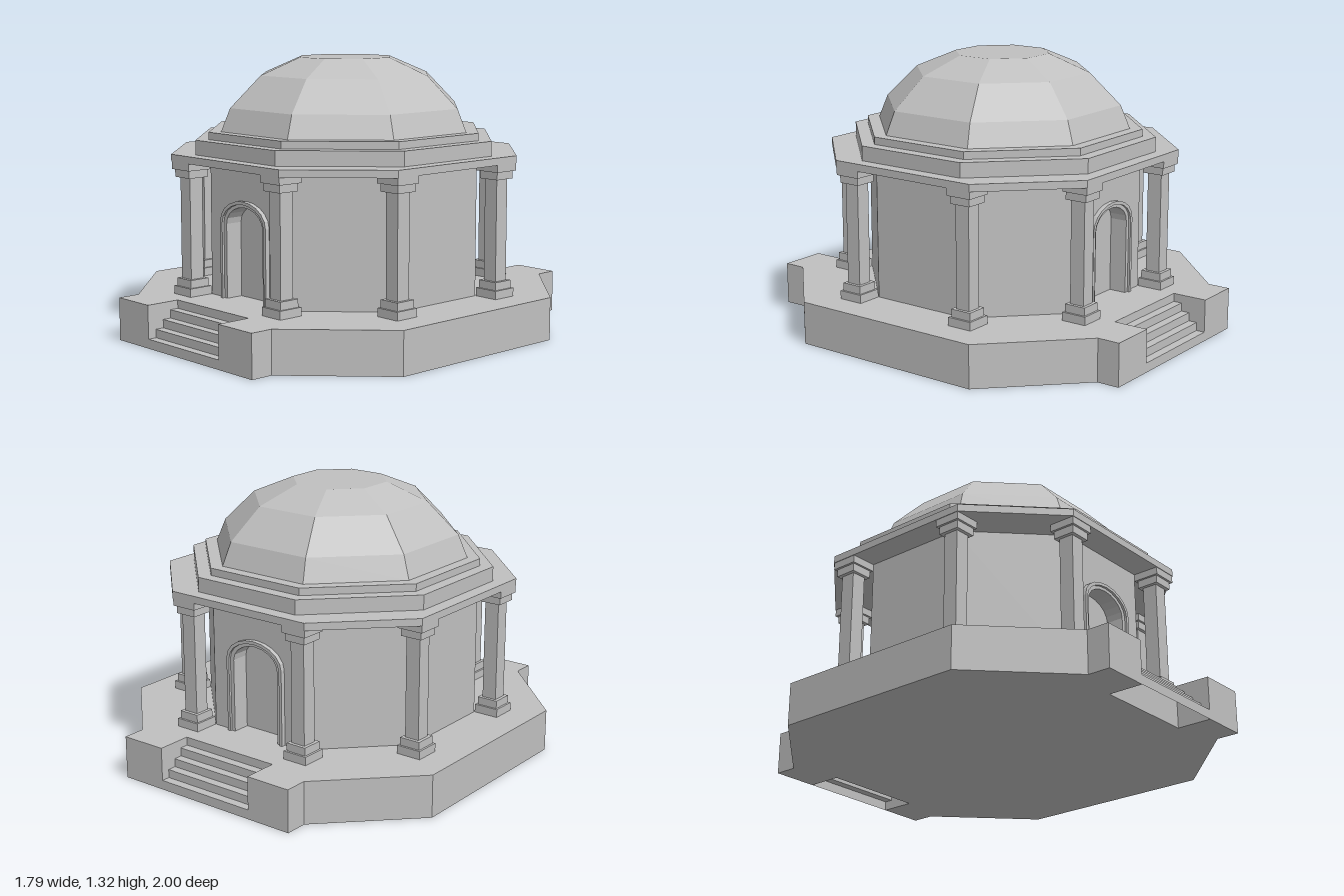
import * as THREE from 'three';

export function createModel() {
  const model = new THREE.Group();
  model.name = 'domedPavilion';
  const stone = new THREE.MeshStandardMaterial({ color: 0xc0c0c0, flatShading: true, side: THREE.DoubleSide });
  stone.name = 'stone grey';

  function add(parent, name, geometry, x = 0, y = 0, z = 0) {
    const mesh = new THREE.Mesh(geometry, stone);
    mesh.name = name;
    mesh.position.set(x, y, z);
    parent.add(mesh);
    return mesh;
  }

  // Mirrors a quarter plan (x, z) into a full outline and raises it from y0 to y1
  function addPlan(name, quarter, y0, y1) {
    const flip = (sx, sz) => quarter.map(([x, z]) => new THREE.Vector2(x * sx, z * sz));
    const outline = [...flip(1, 1), ...flip(-1, 1).reverse(), ...flip(-1, -1), ...flip(1, -1).reverse()];
    const geometry = new THREE.ExtrudeGeometry(new THREE.Shape(outline), { depth: y1 - y0, bevelEnabled: false });
    geometry.rotateX(-Math.PI / 2);
    return add(model, name, geometry, 0, y0, 0);
  }
  const octagon = (apothem, half) => [[apothem, half], [half, apothem]];

  // Plinth with stair notches, and the drum with door recesses
  const floor = 0.205, eaves = 0.84, recess = 0.55, wall = 0.625;
  addPlan('plinth', [[0.895, 0.49], [0.49, 0.89], [0.49, 1], [0.26, 1], [0.26, 0.83]], 0, floor);
  addPlan('drumWall', [[wall, 0.26], [0.26, wall], [0.13, wall], [0.13, recess]], floor, eaves);

  // Stepped roof slabs
  addPlan('eavesSlab', octagon(0.758, 0.39), eaves, 0.875);
  addPlan('middleRoofStep', octagon(0.692, 0.287), 0.875, 0.945);
  addPlan('upperRoofStep', octagon(0.633, 0.262), 0.945, 0.98);

  // Eight-sided faceted dome
  const k = 1 / Math.cos(Math.PI / 8);
  const profile = [[0.577, 0.98], [0.535, 1.09], [0.395, 1.24], [0.213, 1.323], [0, 1.323]]
    .map(([r, y]) => new THREE.Vector2(r * k, y));
  add(model, 'dome', new THREE.LatheGeometry(profile, 8, Math.PI / 8).toNonIndexed());

  // Columns near the eight corners: width, bottom, top of each block
  const blocks = [
    ['columnFoot', 0.125, 0.205, 0.245], ['columnBase', 0.105, 0.245, 0.283],
    ['columnShaft', 0.073, 0.283, 0.768], ['columnNeck', 0.108, 0.768, 0.805],
    ['columnCapital', 0.13, 0.805, 0.84],
  ];
  for (const [x, z] of [[0.69, 0.325], [0.325, 0.69]])
    for (const sx of [1, -1])
      for (const sz of [1, -1]) {
        const column = new THREE.Group();
        column.name = 'column';
        column.position.set(x * sx, 0, z * sz);
        for (const [name, w, y0, y1] of blocks)
          add(column, name, new THREE.BoxGeometry(w, y1 - y0, w), 0, (y0 + y1) / 2, 0);
        model.add(column);
      }

  // Arch outline points running from the left spring over the top to the right
  function arch(half, spring, top) {
    const points = [];
    for (let i = 0; i <= 10; i++) {
      const a = Math.PI * (1 - i / 10);
      points.push(new THREE.Vector2(half * Math.cos(a), spring + (top - spring) * Math.sin(a)));
    }
    return points;
  }
  const OUTER = [0.165, 0.57, 0.68], MIDDLE = [0.15, 0.565, 0.665], INNER = [0.13, 0.56, 0.65];

  function archBand(outer, inner, front) {
    const leg = (x) => new THREE.Vector2(x, floor);
    const shape = new THREE.Shape([
      leg(-outer[0]), ...arch(...outer), leg(outer[0]),
      leg(inner[0]), ...arch(...inner).reverse(), leg(-inner[0]),
    ]);
    return new THREE.ExtrudeGeometry(shape, { depth: front - 0.6, bevelEnabled: false });
  }

  // Entrance: door head, stepped arch frame and stairs, at the front and the back
  for (const angle of [0, Math.PI]) {
    const entrance = new THREE.Group();
    entrance.name = angle ? 'backEntrance' : 'frontEntrance';
    entrance.rotation.y = angle;

    const head = new THREE.Shape([
      new THREE.Vector2(0.13, eaves), new THREE.Vector2(-0.13, eaves), ...arch(...INNER),
    ]);
    add(entrance, 'doorHead', new THREE.ExtrudeGeometry(head, { depth: wall - recess, bevelEnabled: false }), 0, 0, recess);
    add(entrance, 'outerArchFrame', archBand(OUTER, MIDDLE, 0.647), 0, 0, 0.6);
    add(entrance, 'innerArchFrame', archBand(MIDDLE, INNER, 0.636), 0, 0, 0.6);

    // Stairs are open underneath
    const run = 0.0425, rise = 0.04, first = 0.045;
    for (let i = 0; i < 4; i++) {
      const y = first + rise * i, z = 1 - run * i, h = i ? rise : first;
      add(entrance, 'riser', new THREE.PlaneGeometry(0.52, h), 0, y - h / 2, z);
      add(entrance, 'tread', new THREE.PlaneGeometry(0.52, run).rotateX(-Math.PI / 2), 0, y, z - run / 2);
    }
    model.add(entrance);
  }
  return model;
}
